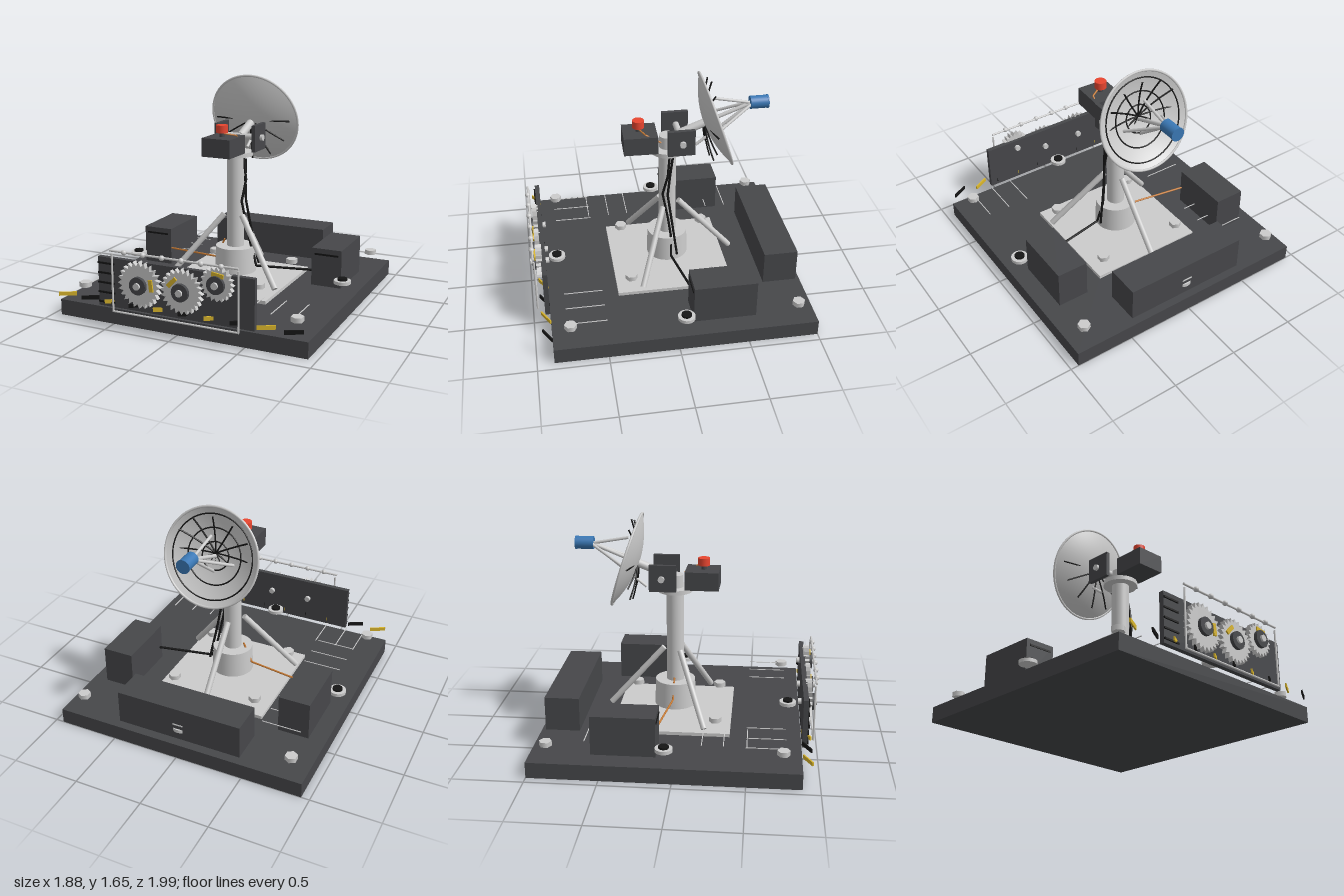
import * as THREE from 'three';

const mat = (color, side = THREE.FrontSide) => new THREE.MeshStandardMaterial({ color, side });
const V = (x, y, z) => new THREE.Vector3(x, y, z);

export function createModel() {
  const root = new THREE.Group();
  const grey = mat(0xcccccc), greyThin = mat(0xcccccc, THREE.DoubleSide);
  const dark = mat(0x46474a), black = mat(0x151515);
  const yellow = mat(0xd9b52c), red = mat(0xe8452f), blue = mat(0x3a78b5), orange = mat(0xc77b35);

  function add(name, geo, material, x = 0, y = 0, z = 0, parent = root) {
    const m = new THREE.Mesh(geo, material);
    m.name = name;
    m.position.set(x, y, z);
    parent.add(m);
    return m;
  }
  // box given by its extents
  const block = (name, material, x0, x1, y0, y1, z0, z1) =>
    add(name, new THREE.BoxGeometry(x1 - x0, y1 - y0, z1 - z0), material, (x0 + x1) / 2, (y0 + y1) / 2, (z0 + z1) / 2);
  // upright cylinder given by its base height
  const drum = (name, material, r, x, y0, y1, z, sides = 32, rTop = r) =>
    add(name, new THREE.CylinderGeometry(rTop, r, y1 - y0, sides), material, x, (y0 + y1) / 2, z);
  // round bar between two points
  function rod(name, material, a, b, r, parent = root, sides = 12) {
    const m = add(name, new THREE.CylinderGeometry(r, r, a.distanceTo(b), sides), material, 0, 0, 0, parent);
    m.position.copy(a).lerp(b, 0.5);
    m.quaternion.setFromUnitVectors(V(0, 1, 0), b.clone().sub(a).normalize());
    return m;
  }
  const cable = (name, material, pts, r) => {
    for (let i = 1; i < pts.length; i++) rod(name, material, V(...pts[i - 1]), V(...pts[i]), r, root, 8);
  };

  // Base, mounting plate and equipment boxes
  block('base', dark, -0.94, 0.94, 0, 0.115, -1, 0.88);
  block('mountingPlate', grey, -0.43, 0.43, 0.115, 0.14, -0.49, 0.37);
  block('rearCabinet', dark, -0.47, 0.47, 0.14, 0.39, -0.96, -0.71);
  block('rearCabinetSlit', grey, -0.04, 0.04, 0.255, 0.263, -0.965, -0.96);
  for (const s of [-1, 1]) {
    const x = s * 0.705;
    block('sideCabinet', dark, x - 0.115, x + 0.115, 0.135, 0.42, -0.57, -0.12);
    block('cabinetVent', black, x - 0.09, x + 0.09, 0.37, 0.383, -0.12, -0.114);
  }

  // Hex bolts
  for (const s of [-1, 1]) {
    for (const z of [-0.88, 0.75]) drum('baseBolt', grey, 0.045, s * 0.815, 0.19, 0.225, z, 6);
    for (const z of [-0.39, 0.26]) drum('plateBolt', grey, 0.045, s * 0.33, 0.19, 0.225, z, 6);
  }
  // Levelling feet
  for (let i = 0; i < 4; i++) {
    const a = i * Math.PI / 2, x = 0.85 * Math.cos(a), z = -0.06 + 0.85 * Math.sin(a);
    drum('levellingFoot', grey, 0.062, x, 0.2, 0.225, z, 24);
    drum('levellingCap', black, 0.036, x, 0.225, 0.24, z, 24);
  }
  // Panel seams on the deck
  for (const z of [-0.62, -0.465, -0.3, 0.19, 0.34, 0.5]) block('deckSeam', grey, -0.78, -0.49, 0.213, 0.217, z - 0.003, z + 0.003);
  for (const x of [-0.78, -0.635, -0.47, 0.47, 0.635, 0.8]) block('deckSeam', grey, x - 0.003, x + 0.003, 0.213, 0.217, 0.49, 0.77);

  // Front panel with louvres
  block('frontPanel', dark, -0.59, 0.585, 0.14, 0.492, 0.88, 0.915);
  for (let i = 0; i < 5; i++) block('louvre', black, -0.59, -0.46, 0.165 + i * 0.07, 0.177 + i * 0.07, 0.915, 0.925);

  // Gears: spiked wheel, hub, knob, shaft end and marker
  function gear(x, y, R, teeth, mx, my, tilt) {
    const g = new THREE.Group();
    g.name = 'gear';
    g.position.set(x, y, 0.905);
    root.add(g);
    const shape = new THREE.Shape();
    for (let i = 0; i < teeth * 2; i++) {
      const a = i * Math.PI / teeth, r = i % 2 ? R * 0.8 : R;
      shape[i ? 'lineTo' : 'moveTo'](r * Math.cos(a), r * Math.sin(a));
    }
    add('gearWheel', new THREE.ExtrudeGeometry(shape, { depth: 0.045, bevelEnabled: false }), grey, 0, 0, 0, g);
    for (const [n, m, r, h, z] of [['gearHub', dark, 0.062, 0.03, 0.055], ['gearKnob', grey, 0.024, 0.04, 0.065], ['gearShaft', grey, 0.022, 0.05, -0.025]])
      add(n, new THREE.CylinderGeometry(r, r, h, 24), m, 0, 0, z, g).rotation.x = Math.PI / 2;
    add('gearMarker', new THREE.BoxGeometry(0.085, 0.028, 0.012), yellow, mx, my, 0.05, g).rotation.z = tilt;
  }
  gear(-0.25, 0.34, 0.165, 24, 0.095, 0.01, -1.45);
  gear(0.07, 0.34, 0.158, 24, -0.065, 0.06, 0.8);
  gear(0.33, 0.43, 0.12, 20, 0.01, 0.066, -0.15);

  // Guard frame around the gears
  rod('guardRail', grey, V(-0.46, 0.565, 0.97), V(0.495, 0.565, 0.97), 0.008);
  for (let i = 0; i < 6; i++) add('guardKnob', new THREE.SphereGeometry(0.019, 16, 12), grey, -0.345 + i * 0.144, 0.565, 0.975);
  for (const x of [-0.447, 0.493]) rod('guardPost', grey, V(x, 0.13, 0.965), V(x, 0.545, 0.965), 0.007);
  rod('guardSill', grey, V(-0.45, 0.132, 0.965), V(0.497, 0.132, 0.965), 0.007);

  // Alternating warning strips
  for (let i = 0; i < 10; i++)
    add('warningStrip', new THREE.BoxGeometry(0.125, 0.028, 0.01), i % 2 ? black : yellow, -0.855 + i * 0.19, 0.18, 0.912).rotation.y = 0.5;

  // Mast, pedestal and three braces
  const cz = -0.06;
  drum('pedestal', grey, 0.155, 0, 0.19, 0.385, cz, 40, 0.148);
  drum('mast', grey, 0.065, 0, 0.19, 1.08, cz, 32);
  drum('mastCollar', grey, 0.128, 0, 1.075, 1.107, cz, 40);
  drum('headPivot', grey, 0.06, 0, 1.107, 1.2, cz, 32);
  for (let i = 0; i < 3; i++) {
    const a = Math.PI / 6 + i * Math.PI * 2 / 3, c = Math.cos(a), s = Math.sin(a);
    rod('mastBrace', grey, V(0.085 * c, 0.63, cz + 0.085 * s), V(0.49 * c, 0.17, cz + 0.49 * s), 0.022);
  }

  // Drive housing, beacon and yoke
  block('driveHousing', dark, -0.115, 0.108, 1.11, 1.245, 0.02, 0.265).rotation.y = -0.03;
  drum('beacon', red, 0.043, -0.01, 1.275, 1.33, 0.15, 24);
  drum('beaconStem', dark, 0.02, -0.01, 1.24, 1.28, 0.15, 12);
  for (const s of [-1, 1]) block('yokePlate', dark, s * 0.15 - 0.015, s * 0.15 + 0.015, 1.11, 1.305, -0.235, -0.04);
  rod('tiltAxle', grey, V(-0.185, 1.205, -0.145), V(0.185, 1.205, -0.145), 0.023, root, 20);
  rod('dishArm', grey, V(0, 1.205, -0.145), V(0, 1.277, -0.33), 0.03, root, 20);

  // Dish: paraboloid tilted up and toward the back
  const dish = new THREE.Group();
  dish.name = 'dish';
  dish.position.set(0, 1.277, -0.325);
  dish.rotation.x = -72 * Math.PI / 180;
  root.add(dish);
  const R = 0.35, bowl = r => 0.09 * (r / R) ** 2;
  const profile = [];
  for (let i = 0; i <= 16; i++) profile.push(new THREE.Vector2(R * i / 16, bowl(R * i / 16)));
  add('dishBowl', new THREE.LatheGeometry(profile, 64), greyThin, 0, 0, 0, dish);
  const ring = (name, material, r, t, lift) =>
    add(name, new THREE.TorusGeometry(r, t, 8, 64), material, 0, bowl(r) + lift, 0, dish).rotation.x = Math.PI / 2;
  ring('dishRim', grey, R, 0.009, 0);
  for (const r of [0.1, 0.2, 0.3]) ring('dishRing', black, r, 0.005, 0.006);

  // Ribs stay upright while the bowl tilts
  for (let i = 0; i < 12; i++) {
    const a = i * Math.PI / 6, pts = [];
    for (let k = 0; k <= 4; k++) {
      const r = 0.075 * k;
      pts.push(V(r * Math.cos(a), 1.3 + r * Math.sin(a), -0.33 - 0.045 * (r / 0.3) ** 2));
    }
    add('dishRib', new THREE.TubeGeometry(new THREE.CatmullRomCurve3(pts), 10, 0.006, 6), black);
  }

  // Feed horn and its struts
  rod('feedHorn', blue, V(0.012, 1.418, -0.655), V(0.012, 1.418, -0.785), 0.047, root, 32);
  rod('feedHornLip', blue, V(0.012, 1.418, -0.778), V(0.012, 1.418, -0.788), 0.05, root, 32);
  for (const [x, y, z] of [[0, 1.465, -0.4], [-0.16, 1.27, -0.39], [0.16, 1.27, -0.39], [0, 1.1, -0.27]])
    rod('feedStrut', grey, V(x, y, z), V(0.01 + x * 0.1, 1.415, -0.67), 0.011);
  rod('feedBoom', grey, V(0, 1.285, -0.345), V(0.01, 1.415, -0.67), 0.014);

  // Cables
  cable('mastCable', black, [[0.06, 1.07, -0.07], [0.09, 0.9, -0.05], [0.07, 0.74, -0.015], [0.095, 0.55, -0.05], [0.12, 0.4, -0.07]], 0.009);
  cable('mastCable', black, [[0.07, 1.05, -0.09], [0.075, 0.9, -0.07], [0.09, 0.74, -0.05], [0.125, 0.5, -0.08], [0.17, 0.25, -0.11]], 0.009);
  cable('cabinetCable', black, [[0.12, 0.4, -0.07], [0.17, 0.24, -0.065], [0.6, 0.24, -0.15]], 0.009);
  cable('cabinetCable', orange, [[-0.09, 0.42, -0.06], [-0.16, 0.27, -0.065], [-0.6, 0.265, -0.13]], 0.007);
  cable('beaconCable', orange, [[0, 1.27, 0.155], [0.08, 1.255, 0.11], [0.09, 1.19, 0]], 0.006);

  return root;
}
